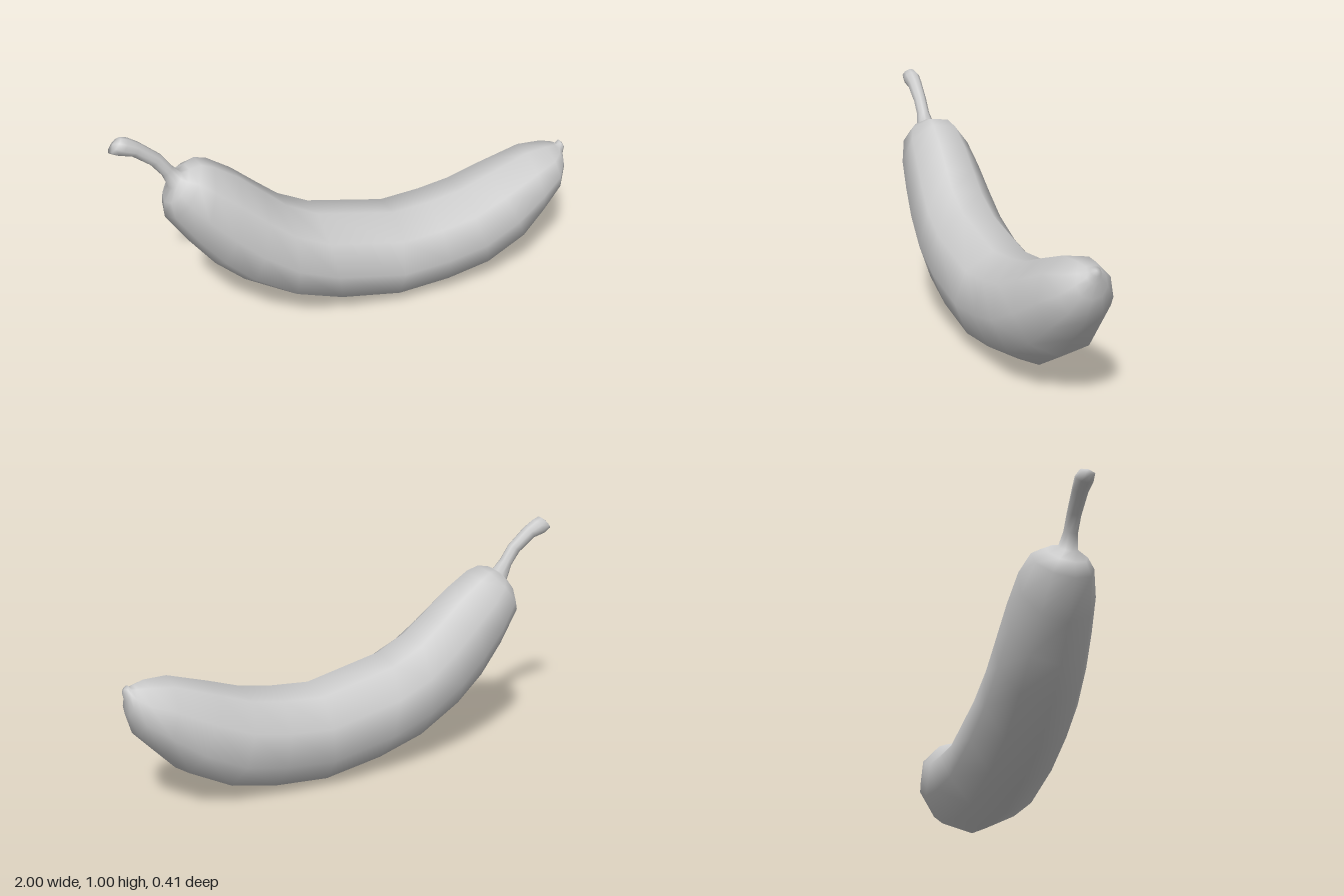
import * as THREE from 'three';

const SIDES = 9;
const PHASE = THREE.MathUtils.degToRad(8);

// Cross-sections from stalk to blossom end:
// [upper x, upper y, lower x, lower y, half depth, z centre]
const STEM = [
  [-0.945, 1.003, -0.998, 0.948, 0.030, -0.006],
  [-0.915, 0.992, -0.965, 0.930, 0.038, -0.008],
  [-0.875, 0.965, -0.910, 0.915, 0.033, -0.007],
  [-0.795, 0.895, -0.840, 0.860, 0.029, -0.005],
  [-0.755, 0.835, -0.800, 0.805, 0.029, -0.005],
];
const BODY = [
  [-0.720, 0.797, -0.775, 0.740, 0.040, -0.005],
  [-0.690, 0.811, -0.800, 0.680, 0.085, -0.010],
  [-0.640, 0.820, -0.802, 0.610, 0.128, -0.018],
  [-0.590, 0.803, -0.710, 0.468, 0.160, -0.018],
  [-0.490, 0.735, -0.610, 0.335, 0.177, -0.016],
  [-0.390, 0.645, -0.490, 0.225, 0.190, -0.012],
  [-0.300, 0.565, -0.300, 0.110, 0.200, -0.007],
  [-0.170, 0.495, -0.090, 0.047, 0.207, -0.004],
  [0.170, 0.420, 0.160, 0.006, 0.210, -0.003],
  [0.340, 0.435, 0.400, 0.026, 0.210, -0.003],
  [0.480, 0.460, 0.600, 0.070, 0.208, -0.003],
  [0.620, 0.510, 0.780, 0.165, 0.190, -0.004],
  [0.800, 0.570, 0.870, 0.262, 0.155, -0.006],
  [0.900, 0.573, 0.960, 0.360, 0.112, -0.007],
  [0.945, 0.565, 0.988, 0.450, 0.066, -0.010],
];
const TIP = [
  [0.962, 0.558, 0.990, 0.510, 0.030, -0.014],
  [0.974, 0.572, 0.998, 0.540, 0.022, -0.016],
];

export function createModel() {
  const group = new THREE.Group();
  const rings = [...STEM, ...BODY, ...TIP];
  const positions = [];

  // Rings of the skin, each leaning across the bend
  for (const [ux, uy, lx, ly, depth, zc] of rings) {
    for (let j = 0; j < SIDES; j++) {
      const a = PHASE + (j / SIDES) * Math.PI * 2;
      const k = Math.cos(a) * 0.508;
      positions.push(
        (ux + lx) / 2 + (lx - ux) * k,
        (uy + ly) / 2 + (ly - uy) * k,
        zc + Math.sin(a) * depth
      );
    }
  }

  // Centres of the two end caps
  const stemCap = positions.length / 3;
  positions.push(-0.978, 0.982, -0.006, 0.990, 0.560, -0.016);
  const tipCap = stemCap + 1;

  // Bands between consecutive rings
  const bands = (from, to) => {
    const out = [];
    for (let i = from; i < to; i++) {
      for (let j = 0; j < SIDES; j++) {
        const n = (j + 1) % SIDES;
        const a = i * SIDES + j, b = i * SIDES + n;
        const c = a + SIDES, d = b + SIDES;
        out.push(a, c, b, b, c, d);
      }
    }
    return out;
  };

  const bodyStart = STEM.length;
  const tipStart = bodyStart + BODY.length - 1;
  const last = rings.length - 1;
  const stemFaces = bands(0, bodyStart);
  const bodyFaces = bands(bodyStart, tipStart);
  const tipFaces = bands(tipStart, last);
  for (let j = 0; j < SIDES; j++) {
    const n = (j + 1) % SIDES;
    stemFaces.push(stemCap, j, n);
    tipFaces.push(tipCap, last * SIDES + n, last * SIDES + j);
  }

  // Normals come from the whole skin, so the parts blend smoothly
  const skin = new THREE.BufferGeometry();
  skin.setAttribute('position', new THREE.Float32BufferAttribute(positions, 3));
  skin.setIndex([...stemFaces, ...bodyFaces, ...tipFaces]);
  skin.computeVertexNormals();

  const material = new THREE.MeshStandardMaterial({ color: 0xcccccc });
  const parts = { stem: stemFaces, fruitBody: bodyFaces, blossomTip: tipFaces };
  for (const [name, faces] of Object.entries(parts)) {
    const geometry = skin.clone();
    geometry.setIndex(faces);
    const mesh = new THREE.Mesh(geometry, material);
    mesh.name = name;
    group.add(mesh);
  }
  group.name = 'curvedFruit';
  return group;
}
